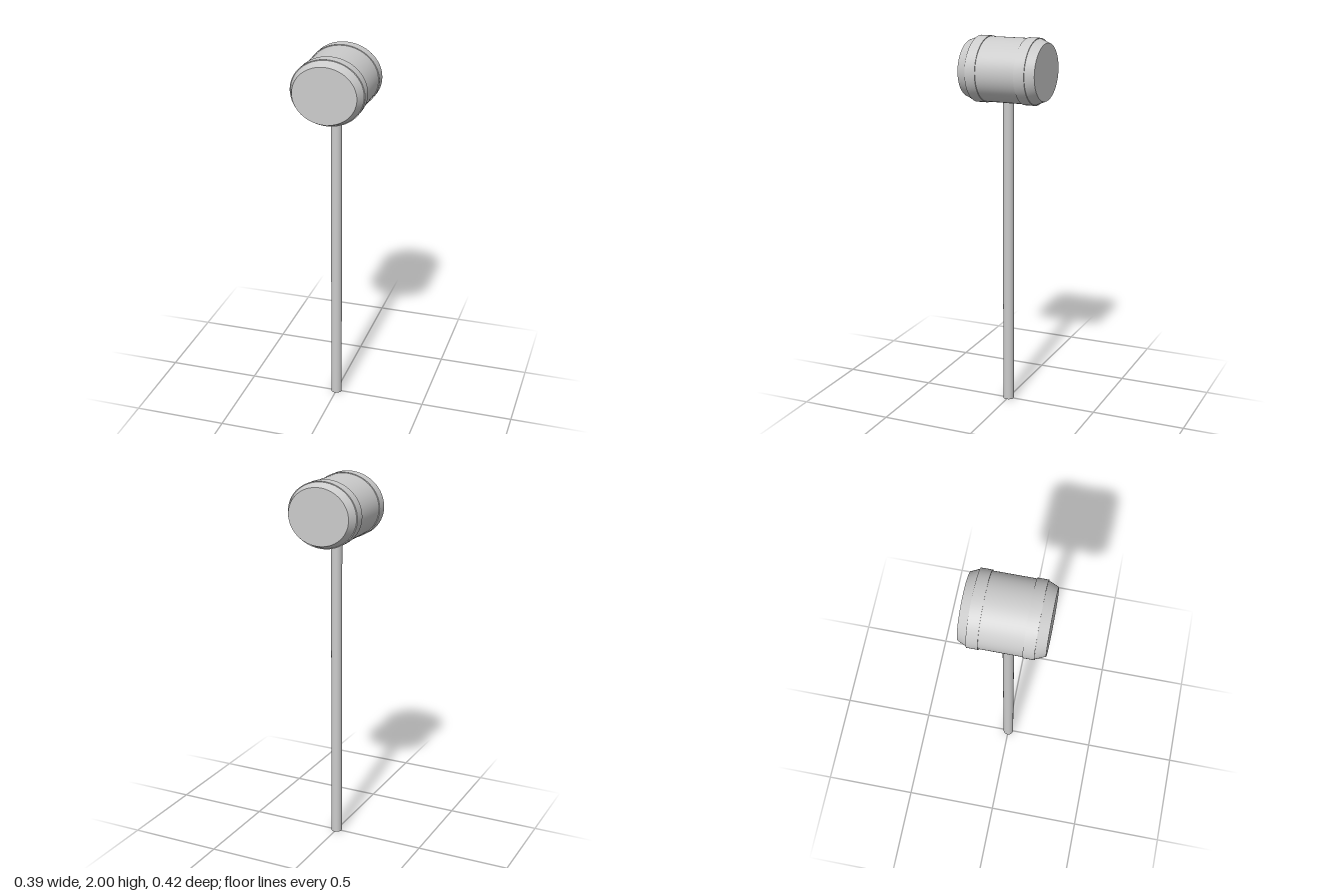
import * as THREE from 'three';
import { toCreasedNormals } from 'three/addons/utils/BufferGeometryUtils.js';

const HEAD_Y = 1.828;
const FLATTEN = 0.886; // the head is slightly oval, wider than tall

export function createModel() {
  const group = new THREE.Group();
  const material = new THREE.MeshStandardMaterial({ color: 0xcccccc });

  // Turns a [radius, z] profile around the z axis, as an oval
  const addTurned = (name, profile) => {
    const points = profile.map(([r, z]) => new THREE.Vector2(r, z));
    const lathe = new THREE.LatheGeometry(points, 64);
    lathe.rotateX(Math.PI / 2).scale(1, FLATTEN, 1);
    const mesh = new THREE.Mesh(toCreasedNormals(lathe, Math.PI / 9), material);
    mesh.name = name;
    mesh.position.y = HEAD_Y;
    group.add(mesh);
  };

  // Barrel-shaped head with tapered ends and flat striking faces
  addTurned('head', [
    [0, -0.211], [0.168, -0.211], [0.19, -0.164],
    [0.19, 0.16], [0.168, 0.211], [0, 0.211],
  ]);

  // Raised bands near both ends
  for (const [name, z0, z1] of [['backBand', -0.165, -0.108], ['frontBand', 0.104, 0.16]]) {
    addTurned(name, [[0.186, z0], [0.1945, z0], [0.1945, z1], [0.186, z1]]);
  }

  // Long round handle, ending inside the head
  const length = 1.7;
  const handle = new THREE.Mesh(new THREE.CylinderGeometry(0.029, 0.029, length, 32), material);
  handle.name = 'handle';
  handle.position.y = length / 2;
  group.add(handle);

  return group;
}
